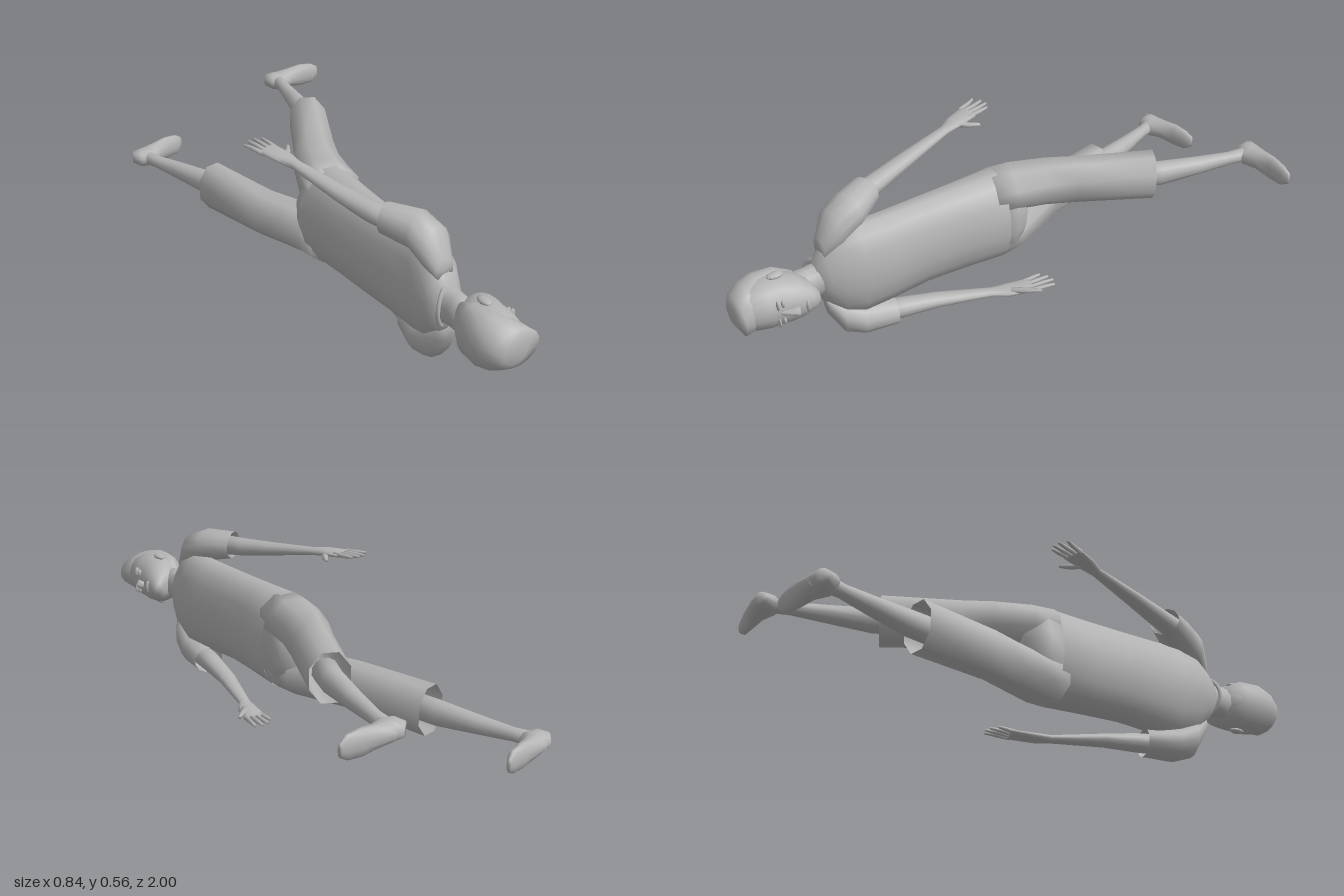
import * as THREE from 'three';

const grey = new THREE.MeshStandardMaterial({ color: 0xb4b4b4, side: THREE.DoubleSide });
grey.name = 'plain grey';

// Skin elliptical rings [x, y, z, radius across the path, radius in y].
// Rings tilt with the path in the xz plane, or all face z when upright is set.
function loft(name, rings, { sides = 12, upright = false, open = false } = {}) {
  const pos = [], index = [], n = rings.length;
  rings.forEach(([x, y, z, ru, rv], j) => {
    const a = rings[Math.max(j - 1, 0)], b = rings[Math.min(j + 1, n - 1)];
    let dx = b[0] - a[0], dz = b[2] - a[2];
    if (upright) { dx = 0; dz = -1; }
    const len = Math.hypot(dx, dz) || 1;
    for (let i = 0; i < sides; i++) {
      const t = ((i + 0.5) / sides) * Math.PI * 2, c = Math.cos(t) * ru;
      pos.push(x - (dz / len) * c, y + Math.sin(t) * rv, z + (dx / len) * c);
    }
  });
  for (let j = 0; j < n - 1; j++) for (let i = 0; i < sides; i++) {
    const k = (i + 1) % sides, a = j * sides, b = a + sides;
    index.push(a + i, b + i, a + k, a + k, b + i, b + k);
  }
  const cap = (j, flip) => {
    const c = pos.length / 3;
    pos.push(...rings[j].slice(0, 3));
    for (let i = 0; i < sides; i++) {
      const a = j * sides + i, b = j * sides + (i + 1) % sides;
      index.push(c, flip ? b : a, flip ? a : b);
    }
  };
  cap(0, false);
  if (!open) cap(n - 1, true);
  const g = new THREE.BufferGeometry();
  g.setAttribute('position', new THREE.Float32BufferAttribute(pos, 3));
  g.setIndex(index);
  g.computeVertexNormals();
  const mesh = new THREE.Mesh(g, grey);
  mesh.name = name;
  return mesh;
}

// Rings given as [z, front x, back x, half width], centred on the body
const MID = 0.267;
const profile = rows => rows.map(([z, f, b, w]) => [(f + b) / 2, MID, z, (f - b) / 2, w]);

function blob(name, x, y, z, sx, sy, sz) {
  const m = new THREE.Mesh(new THREE.SphereGeometry(1, 12, 8), grey);
  m.position.set(x, y, z);
  m.scale.set(sx, sy, sz);
  m.name = name;
  return m;
}

function createHead() {
  const head = new THREE.Group();
  head.name = 'head';
  head.add(
    loft('face', profile([
      [0.99, -0.03, -0.12, 0.04], [0.95, 0.0, -0.16, 0.08], [0.89, 0.013, -0.172, 0.09],
      [0.855, 0.012, -0.17, 0.09], [0.82, 0.02, -0.16, 0.086], [0.78, 0.022, -0.14, 0.076],
      [0.745, 0.019, -0.1, 0.053], [0.725, 0.01, -0.04, 0.028],
    ]), { sides: 18, upright: true }),
    loft('hair', profile([
      [1.0, -0.035, -0.12, 0.04], [0.985, 0.022, -0.148, 0.066], [0.95, 0.0, -0.17, 0.086],
      [0.9, -0.03, -0.179, 0.095], [0.83, -0.06, -0.167, 0.09], [0.77, -0.08, -0.13, 0.06],
    ]), { sides: 16, upright: true }),
    loft('neck', profile([
      [0.8, -0.04, -0.135, 0.06], [0.73, -0.042, -0.133, 0.06],
      [0.68, -0.04, -0.14, 0.064], [0.63, -0.02, -0.15, 0.08],
    ]), { upright: true }),
    loft('nose', profile([
      [0.865, 0.014, -0.01, 0.007], [0.825, 0.042, 0, 0.012],
      [0.813, 0.046, 0, 0.016], [0.803, 0.026, 0, 0.011],
    ]), { sides: 8, upright: true }),
    blob('lips', 0.017, MID, 0.775, 0.012, 0.025, 0.008),
  );
  for (const s of [-1, 1]) {
    head.add(
      blob('eye', 0.008, MID + s * 0.034, 0.855, 0.009, 0.014, 0.006),
      blob('brow', 0.008, MID + s * 0.034, 0.873, 0.011, 0.019, 0.005),
      blob('ear', -0.075, MID + s * 0.091, 0.84, 0.017, 0.01, 0.03),
    );
  }
  return head;
}

function createShirt() {
  const shirt = new THREE.Group();
  shirt.name = 'shirt';
  shirt.add(loft('shirtBody', profile([
    [0.7, -0.05, -0.14, 0.07], [0.665, -0.025, -0.16, 0.11], [0.62, 0, -0.17, 0.16],
    [0.55, 0.015, -0.165, 0.182], [0.45, 0.015, -0.172, 0.177], [0.3, 0.004, -0.186, 0.172],
    [0.15, 0.012, -0.195, 0.175], [0, 0.026, -0.21, 0.18],
  ]), { sides: 16, upright: true, open: true }));
  // Round neckline dipping toward the chest
  const collar = new THREE.Mesh(new THREE.TorusGeometry(0.077, 0.007, 6, 24), grey);
  collar.name = 'collar';
  collar.position.set(-0.082, MID, 0.672);
  collar.rotation.y = 0.55;
  shirt.add(collar);
  return shirt;
}

// Sleeve, bare arm and hand; fingers fan out from the last palm ring
function createArm(name, sleeve, arm, palm, tipShift, thumb) {
  const g = new THREE.Group();
  g.name = name;
  g.add(loft('sleeve', sleeve, { open: true }), loft('bareArm', [...arm, ...palm]));
  const [x, y, z] = palm[palm.length - 1];
  for (let i = 0; i < 4; i++) {
    const o = (i - 1.5) * 0.019, reach = [0.055, 0.075, 0.08, 0.07][i];
    g.add(loft('finger', [
      [x + o, y, z + 0.015, 0.009, 0.009],
      [x + o * 1.15 + tipShift / 2, y + 0.004, z - reach / 2, 0.008, 0.008],
      [x + o * 1.3 + tipShift, y + 0.007, z - reach, 0.005, 0.005],
    ], { sides: 6 }));
  }
  g.add(loft('thumb', thumb, { sides: 6 }));
  return g;
}

// Short trouser leg, bare shin and a foot running from heel to toe
function createLeg(name, y, trouser, shin, heel, toe) {
  const g = new THREE.Group();
  g.name = name;
  const ring = ([x, z, ru, rv]) => [x, y, z, ru, rv];
  g.add(loft('trouserLeg', trouser.map(ring), { sides: 8, open: true }));
  g.add(loft('shin', shin.map(ring)));
  const dx = toe[0] - heel[0], dz = toe[1] - heel[1], len = Math.hypot(dx, dz);
  // [fraction of foot length, height, half width]
  const foot = [[0, 0.05, 0.024], [0.1, 0.09, 0.034], [0.22, 0.1, 0.034], [0.4, 0.068, 0.037],
    [0.65, 0.047, 0.045], [0.88, 0.034, 0.04], [1, 0.016, 0.022]];
  g.add(loft('foot', foot.map(([t, h, w]) => [
    heel[0] + dx * t - (dz / len) * h / 2, y - 0.008 * t, heel[1] + dz * t + (dx / len) * h / 2, h / 2, w,
  ])));
  return g;
}

export function createModel() {
  const model = new THREE.Group();
  model.name = 'walkingFigure';
  model.add(createHead(), createShirt());

  // Upper arm swings back, lower arm swings forward
  model.add(createArm('backwardArm',
    [[-0.095, 0.38, 0.67, 0.035, 0.04], [-0.1, 0.44, 0.62, 0.066, 0.07],
      [-0.115, 0.475, 0.55, 0.07, 0.062], [-0.172, 0.488, 0.455, 0.056, 0.05]],
    [[-0.155, 0.482, 0.5, 0.042, 0.036], [-0.19, 0.49, 0.4, 0.038, 0.032],
      [-0.225, 0.508, 0.28, 0.033, 0.024], [-0.273, 0.54, 0.09, 0.021, 0.014]],
    [[-0.288, 0.549, 0.04, 0.034, 0.014], [-0.31, 0.556, -0.03, 0.039, 0.011]],
    -0.02,
    [[-0.285, 0.545, 0.04, 0.014, 0.011], [-0.25, 0.544, -0.005, 0.011, 0.01], [-0.232, 0.546, -0.035, 0.006, 0.006]]));
  model.add(createArm('forwardArm',
    [[-0.085, 0.155, 0.67, 0.035, 0.04], [-0.08, 0.097, 0.62, 0.066, 0.07],
      [-0.065, 0.066, 0.55, 0.07, 0.062], [-0.04, 0.058, 0.435, 0.056, 0.05]],
    [[-0.045, 0.06, 0.48, 0.042, 0.036], [-0.037, 0.053, 0.4, 0.038, 0.034],
      [-0.018, 0.043, 0.28, 0.033, 0.024], [0.032, 0.026, 0.09, 0.021, 0.014]],
    [[0.055, 0.028, 0.04, 0.034, 0.014], [0.081, 0.033, -0.045, 0.039, 0.011]],
    0.012,
    [[0.07, 0.034, 0.03, 0.014, 0.011], [0.12, 0.045, -0.02, 0.011, 0.01], [0.15, 0.053, -0.05, 0.006, 0.006]]));

  // Trousers seat and legs
  model.add(loft('trouserSeat', profile([
    [0.03, 0.012, -0.2, 0.172], [-0.04, 0.012, -0.195, 0.172], [-0.08, 0, -0.18, 0.13], [-0.11, -0.04, -0.14, 0.07],
  ]), { upright: true }));
  model.add(createLeg('forwardLeg', 0.366,
    [[-0.088, 0.02, 0.1, 0.08], [-0.075, -0.06, 0.098, 0.083], [-0.035, -0.18, 0.085, 0.084],
      [0.015, -0.28, 0.076, 0.085], [0.134, -0.525, 0.072, 0.092]],
    [[0.11, -0.47, 0.045, 0.045], [0.143, -0.55, 0.041, 0.045], [0.178, -0.7, 0.032, 0.032],
      [0.203, -0.82, 0.024, 0.023], [0.22, -0.92, 0.028, 0.028]],
    [0.187, -0.957], [0.412, -0.928]));
  model.add(createLeg('backwardLeg', 0.168,
    [[-0.098, 0.02, 0.1, 0.08], [-0.11, -0.06, 0.098, 0.083], [-0.15, -0.17, 0.084, 0.084],
      [-0.192, -0.28, 0.076, 0.085], [-0.256, -0.57, 0.07, 0.092]],
    [[-0.24, -0.5, 0.045, 0.045], [-0.262, -0.6, 0.041, 0.045], [-0.31, -0.75, 0.032, 0.032],
      [-0.348, -0.86, 0.024, 0.023], [-0.375, -0.94, 0.028, 0.028]],
    [-0.413, -0.973], [-0.19, -1.0]));
  return model;
}
